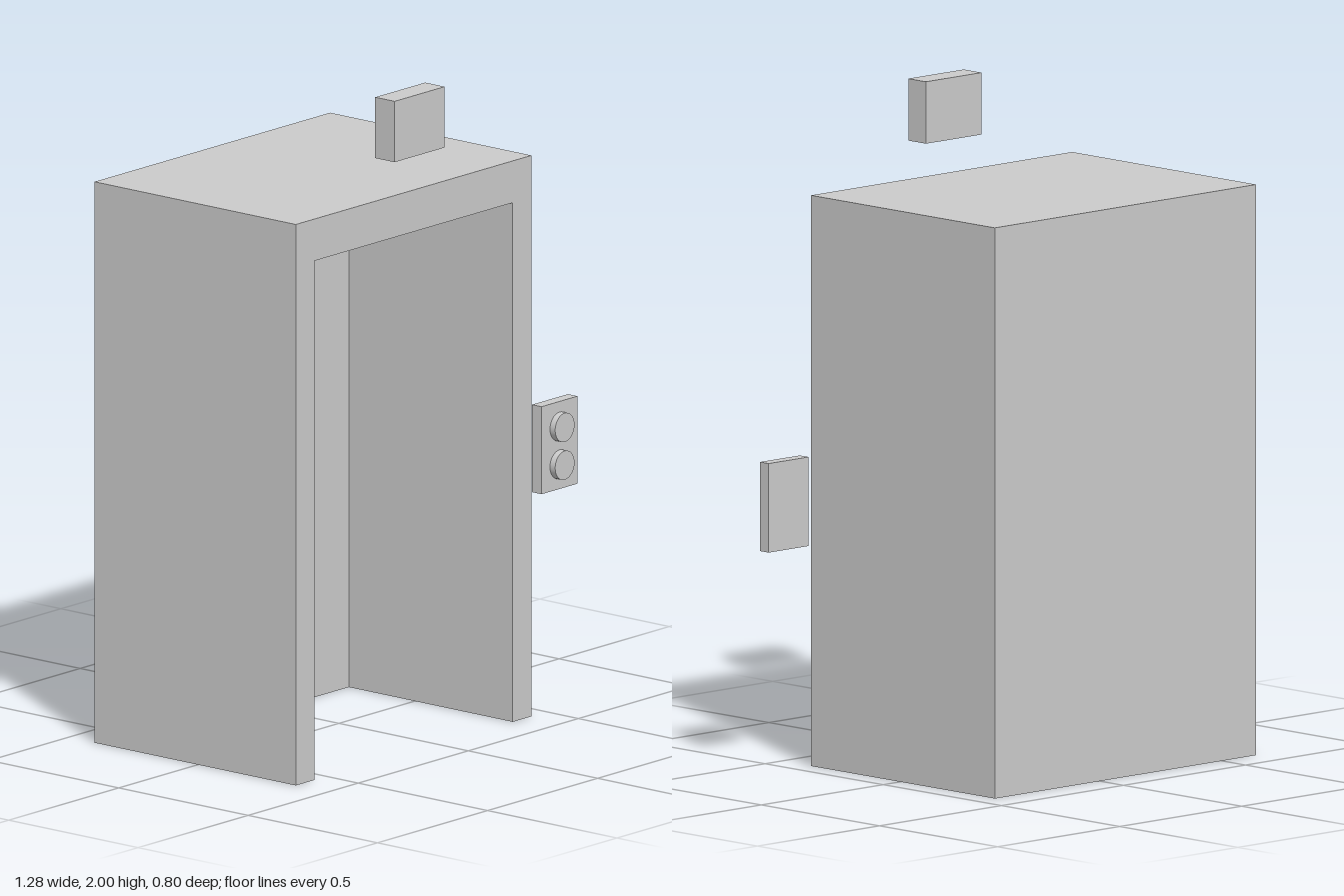
import * as THREE from 'three';

const material = new THREE.MeshStandardMaterial({ color: 0xcccccc });

function addMesh(parent, name, geometry) {
  const mesh = new THREE.Mesh(geometry, material);
  mesh.name = name;
  parent.add(mesh);
  return mesh;
}

// Box given by its extents along each axis
function addBox(parent, name, [x0, x1], [y0, y1], [z0, z1]) {
  const mesh = addMesh(parent, name, new THREE.BoxGeometry(x1 - x0, y1 - y0, z1 - z0));
  mesh.position.set((x0 + x1) / 2, (y0 + y1) / 2, (z0 + z1) / 2);
}

export function createModel() {
  const model = new THREE.Group();
  model.name = 'elevator';

  // Cabin: side walls and roof as one arch, closed by a thick back wall, no floor
  const cabin = new THREE.Group();
  cabin.name = 'cabin';
  model.add(cabin);
  const left = 0.43, right = -0.64, top = 1.705;
  const innerLeft = 0.345, innerRight = -0.556, innerTop = 1.578;
  const front = 0.378, innerBack = -0.255, back = -0.4;
  const arch = new THREE.Shape([
    [right, 0], [innerRight, 0], [innerRight, innerTop], [innerLeft, innerTop],
    [innerLeft, 0], [left, 0], [left, top], [right, top],
  ].map(([x, y]) => new THREE.Vector2(x, y)));
  const walls = addMesh(cabin, 'wallsAndRoof',
    new THREE.ExtrudeGeometry(arch, { depth: front - innerBack, bevelEnabled: false }));
  walls.position.z = innerBack;
  addBox(cabin, 'backWall', [right, left], [0, top], [back, innerBack]);

  // Floor indicator above the doorway
  addBox(model, 'floorIndicator', [-0.217, 0.01], [1.815, 2], [0.325, 0.4]);

  // Call panel with two round buttons
  const panel = new THREE.Group();
  panel.name = 'callPanel';
  model.add(panel);
  addBox(panel, 'panelPlate', [0.474, 0.637], [0.667, 0.933], [0.343, 0.38]);
  for (const [name, y] of [['upButton', 0.857], ['downButton', 0.742]]) {
    const button = addMesh(panel, name, new THREE.CylinderGeometry(0.044, 0.044, 0.02, 32));
    button.rotation.x = Math.PI / 2;
    button.position.set(0.556, y, 0.39);
  }

  return model;
}
